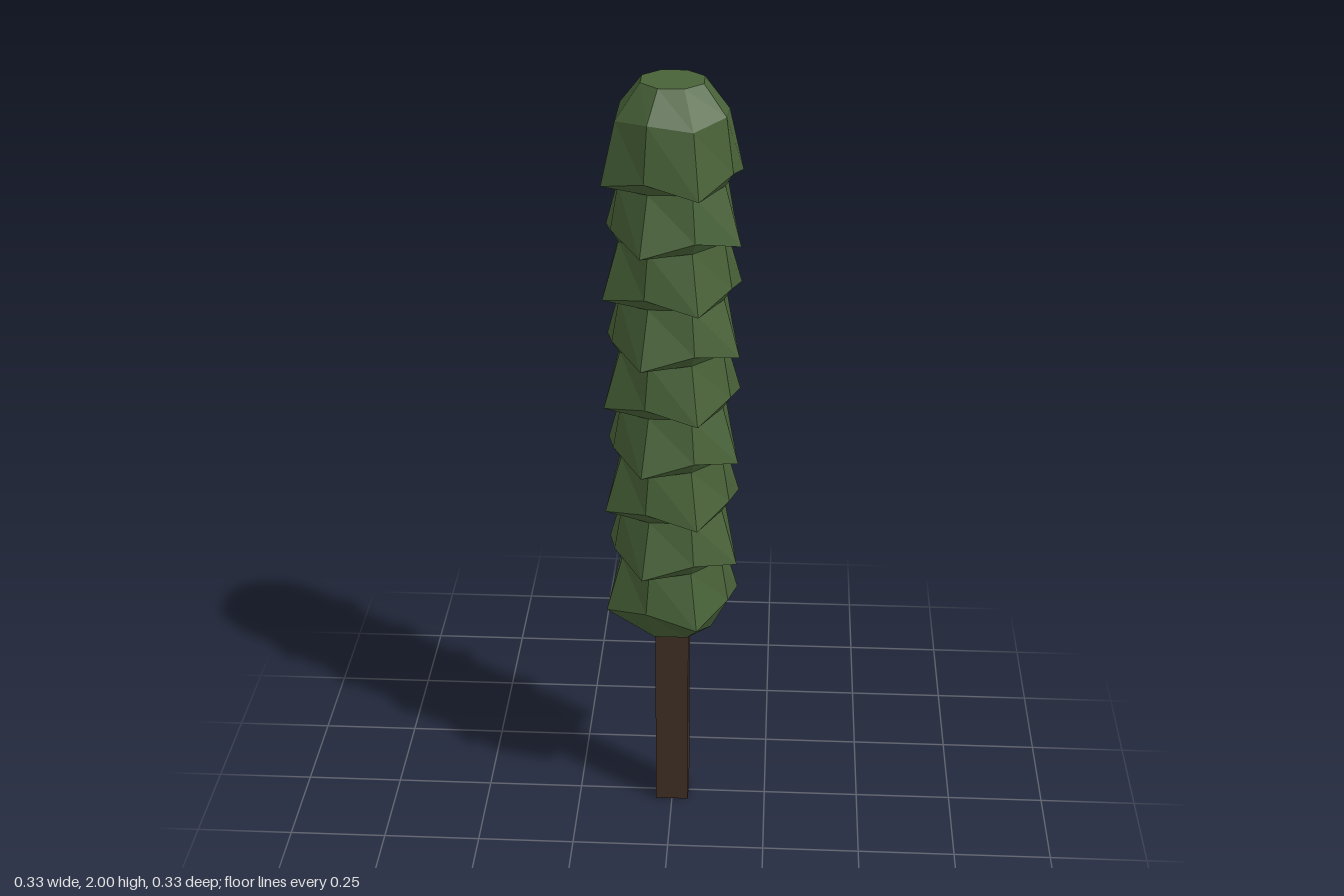
import * as THREE from 'three';

const SIDES = 8;
const TIERS = 9;
const STEP = 0.144;      // height between tiers
const TOP_TIP = 1.76;    // height of the lowest leaf tips on the top tier

// Octagonal ring; odd corners use (r, y), even corners use (r2, y2), swapped by parity
function ring(r, y, r2 = r, y2 = y, parity = 0) {
  return Array.from({ length: SIDES }, (_, i) => {
    const a = ((i + 0.5) / SIDES) * Math.PI * 2;
    const tip = (i + parity) % 2 === 1;
    const rad = tip ? r : r2;
    return [Math.cos(a) * rad, tip ? y : y2, Math.sin(a) * rad];
  });
}

// Flat-shaded skin over rings listed from top to bottom, closed at both ends
function skin(rings) {
  const pos = [];
  const tri = (a, b, c) => pos.push(...a, ...b, ...c);
  for (let k = 0; k < rings.length - 1; k++) {
    const up = rings[k], low = rings[k + 1];
    for (let i = 0; i < SIDES; i++) {
      const j = (i + 1) % SIDES;
      tri(up[i], up[j], low[i]);
      tri(up[j], low[j], low[i]);
    }
  }
  const top = rings[0], bottom = rings[rings.length - 1];
  for (let i = 1; i < SIDES - 1; i++) {
    tri(top[0], top[i + 1], top[i]);
    tri(bottom[0], bottom[i], bottom[i + 1]);
  }
  const geo = new THREE.BufferGeometry();
  geo.setAttribute('position', new THREE.Float32BufferAttribute(pos, 3));
  geo.computeVertexNormals();
  return geo;
}

export function createModel() {
  const foliageGreen = new THREE.MeshStandardMaterial({ color: 0x486238 });
  foliageGreen.name = 'foliageGreen';
  const barkBrown = new THREE.MeshStandardMaterial({ color: 0x3e2d24 });
  barkBrown.name = 'barkBrown';

  const group = new THREE.Group();
  group.name = 'columnTree';

  // Trunk
  const trunk = new THREE.Mesh(new THREE.BoxGeometry(0.086, 0.56, 0.086), barkBrown);
  trunk.name = 'trunk';
  trunk.position.y = 0.28;
  group.add(trunk);

  // Foliage: rounded crown, then tiers whose low tips alternate corners
  const rings = [ring(0.08, 2), ring(0.143, 1.915, 0.138, 1.928, 0)];
  for (let t = 0; t < TIERS; t++) {
    const y = TOP_TIP - t * STEP;
    rings.push(ring(0.18, y, 0.157, y + 0.033, t % 2));
    if (t < TIERS - 1) rings.push(ring(0.137, y + 0.002));
  }
  rings.push(ring(0.11, 0.55));
  const foliage = new THREE.Mesh(skin(rings), foliageGreen);
  foliage.name = 'foliage';
  group.add(foliage);

  return group;
}
